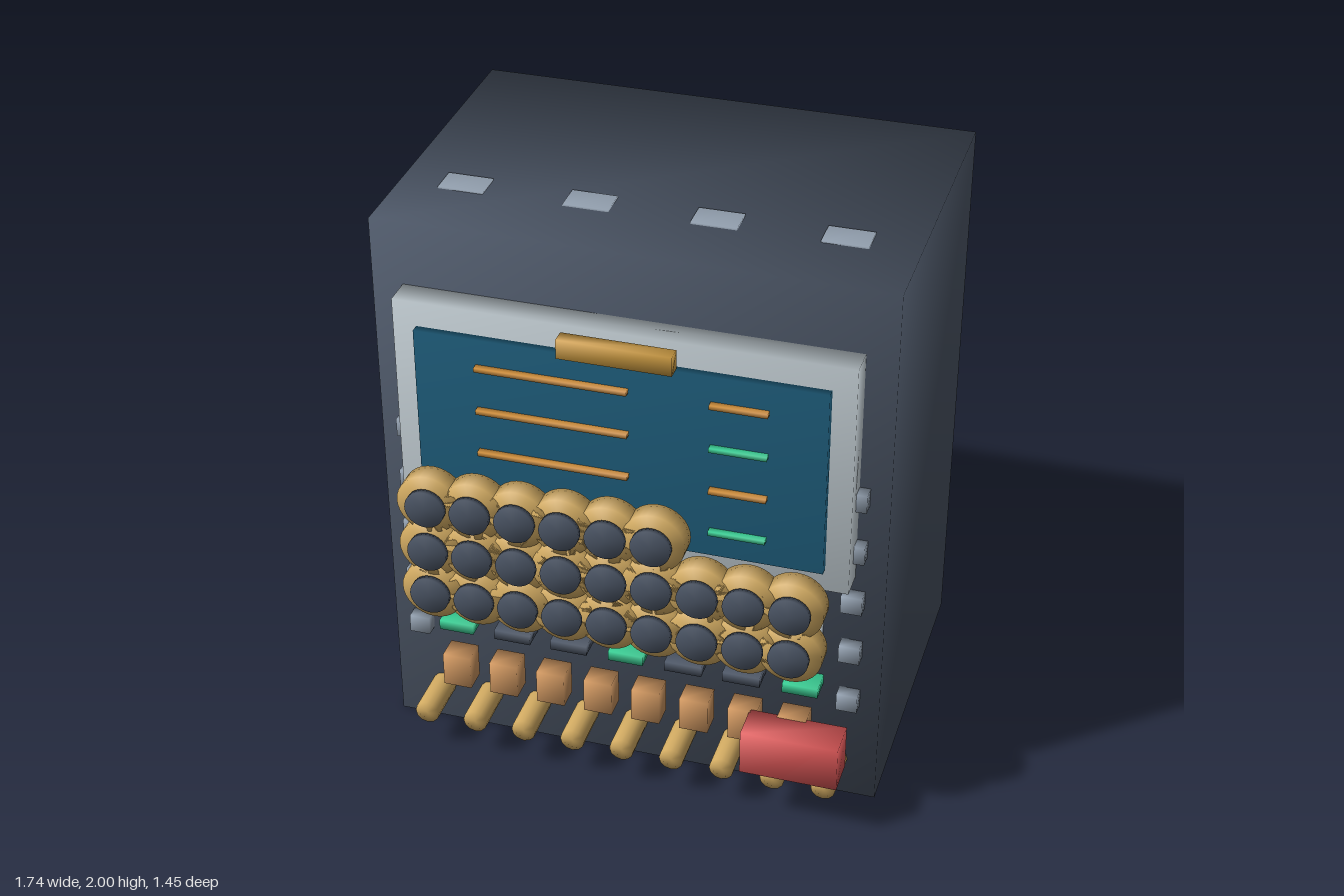
import * as THREE from 'three';
import { mergeVertices } from 'three/addons/utils/BufferGeometryUtils.js';

const mat = (name, color) => {
  const m = new THREE.MeshStandardMaterial({ color });
  m.name = name;
  return m;
};

// Share corner vertices so that shading flows softly over the edges
function soften(geometry) {
  geometry.deleteAttribute('normal');
  geometry.deleteAttribute('uv');
  const g = mergeVertices(geometry, 1e-5);
  g.computeVertexNormals();
  return g;
}

export function createModel() {
  const model = new THREE.Group();
  model.name = 'console';
  const slate = mat('slate', 0x4b5565);
  const silver = mat('silver', 0xc8d3d9);
  const steel = mat('steel', 0x929fae);
  const teal = mat('screen teal', 0x1f5f7e);
  const gold = mat('gold', 0xd2ab62);
  const brass = mat('brass', 0xcb9a40);
  const amber = mat('amber', 0xcc8c38);
  const copper = mat('copper', 0xd39a63);
  const red = mat('red', 0xd95656);
  const green = mat('green', 0x36cb92);

  // Box given by its extents on each axis
  function box(name, material, [x0, x1], [y0, y1], [z0, z1]) {
    const g = soften(new THREE.BoxGeometry(x1 - x0, y1 - y0, z1 - z0));
    const mesh = new THREE.Mesh(g, material);
    mesh.position.set((x0 + x1) / 2, (y0 + y1) / 2, (z0 + z1) / 2);
    mesh.name = name;
    model.add(mesh);
  }

  // Round part whose axis points forward
  function disc(name, material, x, y, radius, [z0, z1], sides) {
    const g = new THREE.CylinderGeometry(radius, radius, z1 - z0, sides).rotateX(Math.PI / 2);
    const mesh = new THREE.Mesh(soften(g), material);
    mesh.position.set(x, y, (z0 + z1) / 2);
    mesh.name = name;
    model.add(mesh);
  }

  const around = (c, size) => [c - size / 2, c + size / 2];

  // Cabinet and the small vents on its top
  box('cabinet', slate, [-0.87, 0.87], [0, 1.994], [-0.73, 0.43]);
  for (let i = 0; i < 4; i++) {
    box('topVent', steel, around(-0.653 + i * 0.427, 0.155), [1.98, 2], [0.07, 0.175]);
  }

  // Display with frame and name plate
  box('displayFrame', silver, [-0.765, 0.765], [0.92, 1.77], [0.43, 0.53]);
  box('screen', teal, [-0.685, 0.685], [1.005, 1.683], [0.525, 0.56]);
  box('topPlate', brass, [-0.19, 0.19], [1.687, 1.755], [0.55, 0.6]);

  // Lines shown on the display
  for (let i = 0; i < 4; i++) {
    const y = around(1.585 - i * 0.16, 0.016);
    box('longLine', amber, [-0.475, 0.035], y, [0.558, 0.584]);
    box('shortLine', i % 2 ? green : amber, [0.305, 0.495], y, [0.558, 0.584]);
  }

  // Rows of round keys
  [6, 9, 9].forEach((count, row) => {
    for (let i = 0; i < count; i++) {
      const x = -0.616 + i * 0.154;
      const y = 1.108 - row * 0.174;
      disc('keyBase', gold, x, y, 0.107, [0.622, 0.692], 32);
      disc('keyCap', slate, x, y, 0.068, [0.704, 0.725], 32);
    }
  });

  // Ledge behind the keys
  box('keyLedge', silver, [-0.665, 0.665], [0.665, 0.727], [0.43, 0.556]);

  // Clips down both sides
  for (const side of [-1, 1]) {
    for (let i = 0; i < 5; i++) {
      box('sideClip', steel, around(side * 0.765, 0.072), around(1.242 - i * 0.204, 0.066), [0.43, 0.477]);
    }
  }

  // Indicator lamps
  for (let i = 0; i < 7; i++) {
    const lit = i % 3 === 0;
    box('lamp', lit ? green : slate, around(-0.612 + i * 0.204, lit ? 0.123 : 0.13), around(0.476, 0.037), [0.43, 0.516]);
  }

  // Copper buttons and the large red button
  for (let i = 0; i < 8; i++) {
    box('copperButton', copper, around(-0.6 + i * 0.171, 0.1), [0.256, 0.382], [0.475, 0.56]);
  }
  box('redButton', red, [0.45, 0.785], [0.215, 0.382], [0.545, 0.675]);

  // Pegs along the bottom
  for (let i = 0; i < 9; i++) {
    disc('peg', gold, -0.703 + i * 0.1785, 0.148, 0.043, [0.43, 0.605], 12);
  }
  return model;
}
